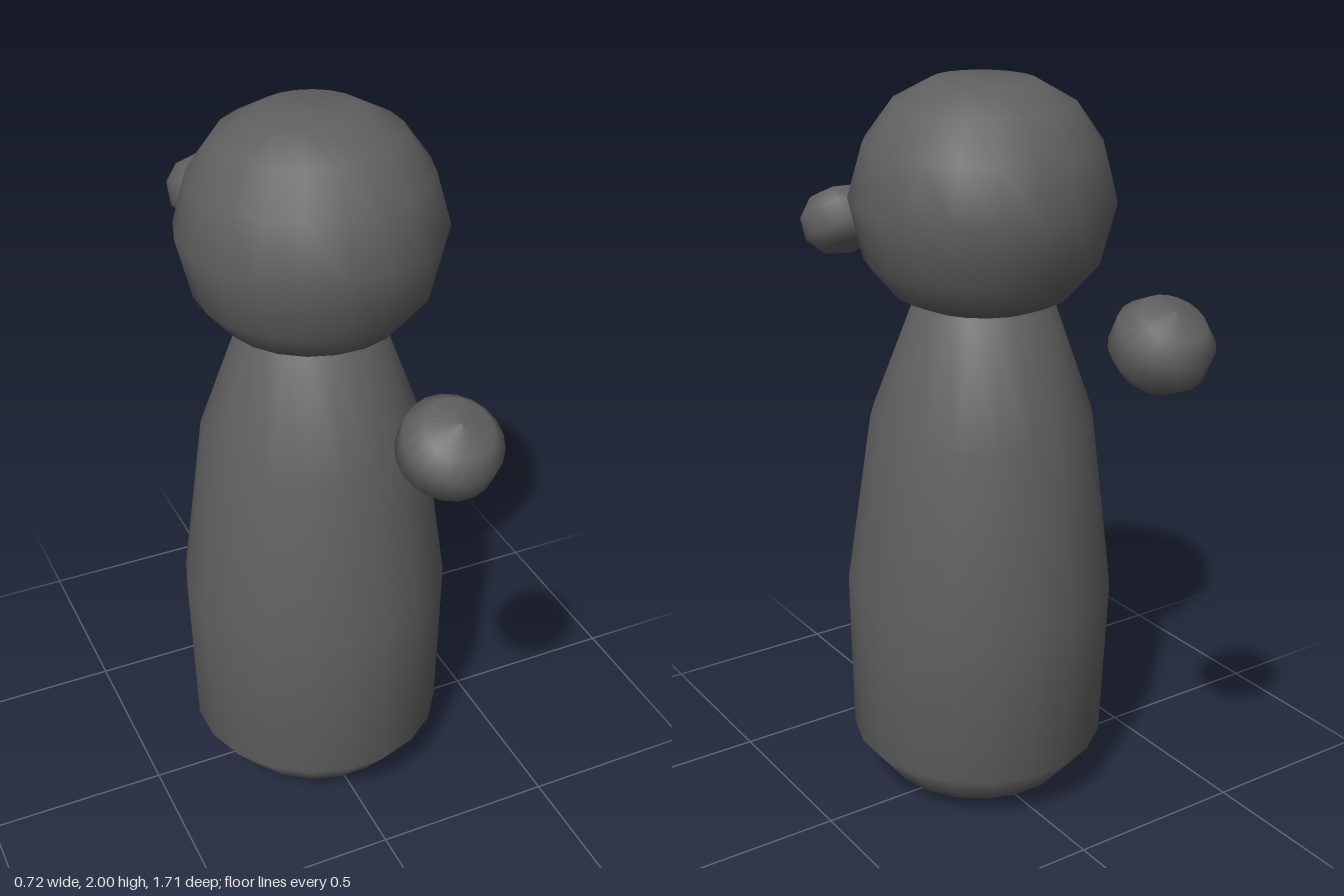
import * as THREE from 'three';

const material = new THREE.MeshStandardMaterial({ color: 0x606060 });

// Smooth turned solid from [radius, height] pairs, listed bottom to top
function turned(name, profile, segments = 20) {
  const points = profile.map(([r, y]) => new THREE.Vector2(r, y));
  const geometry = new THREE.LatheGeometry(points, segments, Math.PI / segments);
  const mesh = new THREE.Mesh(geometry, material);
  mesh.name = name;
  return mesh;
}

export function createModel() {
  const model = new THREE.Group();
  model.name = 'pegFigure';

  // Body and head lean back very slightly together
  const figure = new THREE.Group();
  figure.name = 'figure';
  figure.rotation.x = -0.026;
  figure.position.z = 0.021;
  model.add(figure);

  // Bottle-shaped body with a rounded base; the neck ends inside the head
  figure.add(turned('body', [
    [0, 0.003], [0.14, 0.006], [0.265, 0.06], [0.353, 0.17], [0.365, 0.63],
    [0.3, 1.11], [0.187, 1.42], [0.1, 1.46], [0, 1.47],
  ]));

  // Ball head, flattened at the crown and chin
  const head = turned('head', [
    [0, 1.42], [0.165, 1.422], [0.235, 1.453], [0.307, 1.538], [0.346, 1.7],
    [0.307, 1.84], [0.235, 1.94], [0.135, 1.995], [0, 1.998],
  ]);
  head.position.z = 0.012;
  figure.add(head);

  // Floating hands in front and behind, their tops tipped outward
  for (const side of [1, -1]) {
    const hand = turned(side > 0 ? 'frontHand' : 'backHand', [
      [0, -0.102], [0.08, -0.08], [0.118, -0.034],
      [0.118, 0.034], [0.08, 0.08], [0, 0.102],
    ]);
    hand.position.set(0, 1.491, side * 0.735);
    hand.rotation.x = side * 0.49;
    model.add(hand);
  }

  return model;
}
